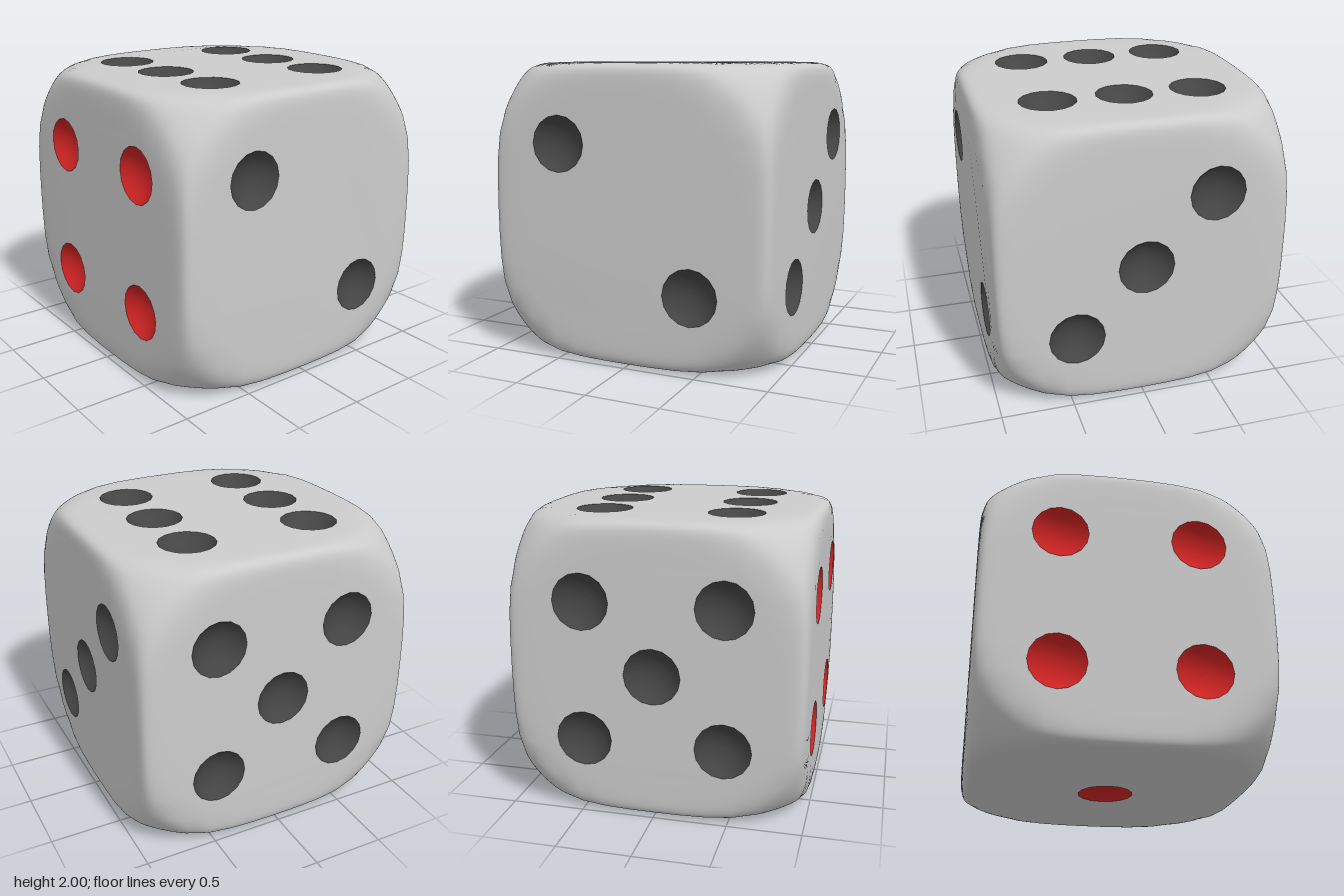
import * as THREE from 'three';
import { mergeGeometries } from 'three/addons/utils/BufferGeometryUtils.js';

const POWER = 30;          // sharpness of the rounded edges
const BALL = 1.48;         // radius of the ball that trims the cube's corners
const CORE = 0.72;         // half width of the part of each face that holds the pips
const STEPS = 36, RIM = 14; // cells across a face, and cells in each rounded margin
const PIP_R = 0.19, PIP_DEPTH = 0.1, PIP_SIDES = 16;

// Position of a grid line on a face, finer towards the edges
function tick(i) {
  const half = STEPS / 2, k = Math.abs(i - half), inner = half - RIM;
  if (k <= inner) return Math.sign(i - half) * CORE * k / inner;
  const t = (k - inner) / RIM;
  return Math.sign(i - half) * (CORE + (1 - CORE) * (1 - (1 - t) ** 1.3));
}

// Pull a point of the cube onto the smooth blend of cube and ball
function project(p) {
  const sum = Math.abs(p.x) ** POWER + Math.abs(p.y) ** POWER + Math.abs(p.z) ** POWER
    + (p.length() / BALL) ** POWER;
  return p.multiplyScalar(sum ** (-1 / POWER));
}

function surfaceNormal(p) {
  const ball = (p.length() / BALL) ** (POWER - 2) / (BALL * BALL);
  const slope = (a) => Math.sign(a) * Math.abs(a) ** (POWER - 1) + a * ball;
  return new THREE.Vector3(slope(p.x), slope(p.y), slope(p.z)).normalize();
}

// One side of the body, facing +z, with a hole for each pip
function faceGeometry(pips) {
  const frame = new THREE.PlaneGeometry(2, 2, STEPS, STEPS);
  const pos = frame.attributes.position;
  for (let i = 0; i < pos.count; i++) {
    pos.setXY(i, tick(i % (STEPS + 1)), -tick(Math.floor(i / (STEPS + 1))));
  }
  // Leave out the middle cells
  const all = frame.index.array, kept = [];
  const inCore = (c) => c >= RIM && c < STEPS - RIM;
  for (let cell = 0; cell < STEPS * STEPS; cell++) {
    if (inCore(cell % STEPS) && inCore(Math.floor(cell / STEPS))) continue;
    kept.push(...all.slice(cell * 6, cell * 6 + 6));
  }
  frame.setIndex(kept);

  // Fill the middle with a pierced panel whose outline meets the grid lines
  const outline = [];
  const corners = [[-1, -1, 1, 0], [1, -1, 0, 1], [1, 1, -1, 0], [-1, 1, 0, -1]];
  const inner = STEPS / 2 - RIM;
  for (const [x, y, dx, dy] of corners) {
    for (let k = 0; k < 2 * inner; k++) {
      outline.push(new THREE.Vector2(x + dx * k / inner, y + dy * k / inner).multiplyScalar(CORE));
    }
  }
  const panelShape = new THREE.Shape(outline);
  for (const [u, v] of pips) {
    const ring = [];
    for (let k = 0; k < PIP_SIDES; k++) {
      const a = -k / PIP_SIDES * Math.PI * 2;
      ring.push(new THREE.Vector2(u + PIP_R * Math.cos(a), v + PIP_R * Math.sin(a)));
    }
    panelShape.holes.push(new THREE.Path(ring));
  }
  const panel = new THREE.ShapeGeometry(panelShape);

  const geo = mergeGeometries([frame, panel]);
  geo.deleteAttribute('uv');
  const p = new THREE.Vector3();
  for (let i = 0; i < geo.attributes.position.count; i++) {
    p.fromBufferAttribute(geo.attributes.position, i).setZ(1);
    project(p);
    const n = surfaceNormal(p);
    geo.attributes.position.setXYZ(i, p.x, p.y, p.z);
    geo.attributes.normal.setXYZ(i, n.x, n.y, n.z);
  }
  return geo;
}

// Shallow spherical bowl sunk into a face that looks towards +z
function pipGeometry([u, v]) {
  const R = (PIP_R ** 2 + PIP_DEPTH ** 2) / (2 * PIP_DEPTH);
  const open = Math.asin(PIP_R / R), profile = [];
  for (let k = 0; k <= 6; k++) {
    const a = open * (1 - k / 6);
    profile.push(new THREE.Vector2(R * Math.sin(a), R * (Math.cos(open) - Math.cos(a))));
  }
  const geo = new THREE.LatheGeometry(profile, PIP_SIDES).rotateX(Math.PI / 2).translate(u, v, 0);
  const pos = geo.attributes.position, p = new THREE.Vector3();
  for (let i = 0; i < pos.count; i++) {
    const depth = pos.getZ(i);
    project(p.set(pos.getX(i), pos.getY(i), 1));
    pos.setXYZ(i, p.x, p.y, p.z + depth);
  }
  return geo;
}

export function createModel() {
  const model = new THREE.Group();
  model.name = 'die';
  const bodyMat = new THREE.MeshStandardMaterial({ color: 0xcccccc });
  const dark = new THREE.MeshStandardMaterial({ color: 0x444444 });
  const red = new THREE.MeshStandardMaterial({ color: 0xcc2222 });

  const q = 0.47, centre = [0, 0], Q = Math.PI / 2;
  const falling = [[-q, q], [q, -q]], rising = [[q, q], [-q, -q]];
  const six = [-0.51, 0, 0.51].flatMap((v) => [[-0.45, v], [0.45, v]]);
  const faces = [
    { name: 'front', rot: [0, 0], pips: falling, mat: dark },
    { name: 'right', rot: [0, Q], pips: [...rising, centre], mat: dark },
    { name: 'back', rot: [0, 2 * Q], pips: [...falling, ...rising, centre], mat: dark },
    { name: 'left', rot: [0, -Q], pips: [...falling, ...rising], mat: red },
    { name: 'top', rot: [-Q, 0], pips: six, mat: dark },
    { name: 'bottom', rot: [Q, 0], pips: [centre], mat: red },
  ];
  // The +x side is the model's own left
  faces[1].name = 'left';
  faces[3].name = 'right';

  const shells = [];
  for (const { name, rot, pips, mat } of faces) {
    const turn = new THREE.Matrix4().makeRotationFromEuler(new THREE.Euler(rot[0], rot[1], 0));
    turn.setPosition(0, 1, 0);
    shells.push(faceGeometry(pips).applyMatrix4(turn));
    const group = new THREE.Group();
    group.name = name + 'Pips';
    for (const pip of pips) {
      const mesh = new THREE.Mesh(pipGeometry(pip).applyMatrix4(turn), mat);
      mesh.name = 'pip';
      group.add(mesh);
    }
    model.add(group);
  }

  const body = new THREE.Mesh(mergeGeometries(shells), bodyMat);
  body.name = 'body';
  model.add(body);
  return model;
}
